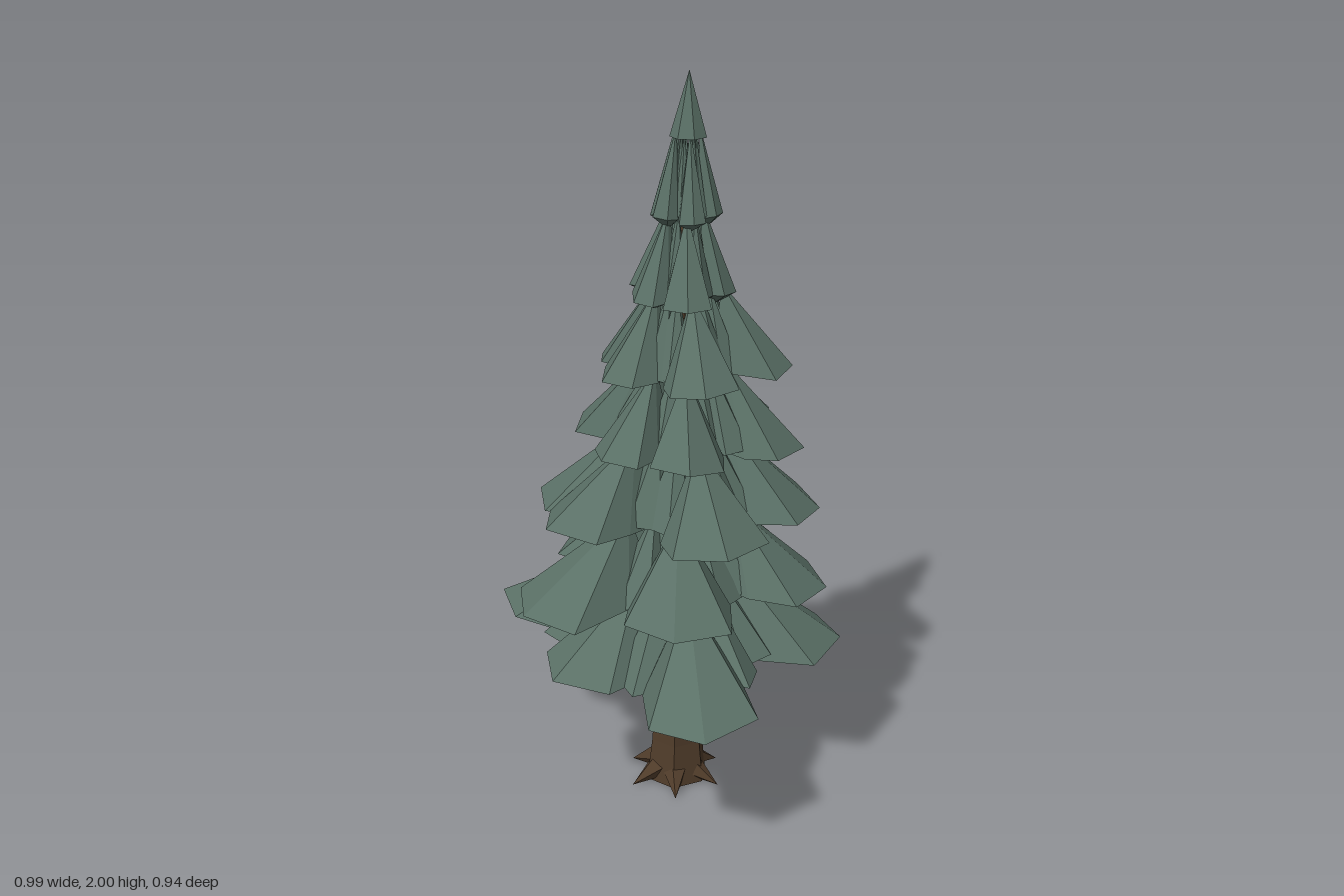
import * as THREE from 'three';

const foliage = new THREE.MeshStandardMaterial({ color: 0x5a7066, flatShading: true });
foliage.name = 'spruce green';
const bark = new THREE.MeshStandardMaterial({ color: 0x503c2a, flatShading: true });
bark.name = 'bark brown';

// Each tier: rim height, then [direction in degrees, reach] for its five boughs
const TIERS = [
  [0.445, [[61, 0.55], [120, 0.42], [187, 0.585], [266, 0.46], [338, 0.445]]],
  [0.645, [[70, 0.40], [123, 0.49], [195, 0.38], [270, 0.42], [350, 0.40]]],
  [0.845, [[50, 0.38], [132, 0.39], [174, 0.40], [260, 0.36], [338, 0.37]]],
  [1.035, [[64, 0.27], [118, 0.27], [190, 0.32], [272, 0.35], [345, 0.32]]],
  [1.24, [[56, 0.26], [128, 0.24], [184, 0.24], [262, 0.25], [340, 0.28]]],
  [1.44, [[66, 0.17], [122, 0.16], [192, 0.16], [268, 0.17], [346, 0.13]]],
  [1.64, [[58, 0.10], [126, 0.10], [186, 0.10], [262, 0.10], [342, 0.09]]],
];

let seed = 7;
const rand = () => (seed = (seed * 16807) % 2147483647) / 2147483647;
const jitter = (amount) => (rand() * 2 - 1) * amount;

// The trunk leans slightly
const axisAt = (y) => new THREE.Vector3(0.072 + 0.0115 * y, y, -0.01);

function add(group, name, geometry, material) {
  const mesh = new THREE.Mesh(geometry, material);
  mesh.name = name;
  group.add(mesh);
}

// Closed faceted cone: a peak, a rim ring and a shallow point underneath
function facetedCone(peak, rim, under) {
  const points = [];
  rim.forEach((p, i) => {
    const q = rim[(i + 1) % rim.length];
    for (const v of [peak, q, p, under, p, q]) points.push(v.x, v.y, v.z);
  });
  const geometry = new THREE.BufferGeometry();
  geometry.setAttribute('position', new THREE.Float32BufferAttribute(points, 3));
  geometry.computeVertexNormals();
  return geometry;
}

// Rim outline of a bough: [outward fraction of reach, sideways fraction of half width]
const OUTLINE = [[1, 0], [0.82, 0.95], [0.52, 0.9], [0.22, 0.5], [0.22, -0.5], [0.52, -0.9], [0.82, -0.95]];

// A drooping bough whose peak sits close to the trunk
function boughGeometry(y, degrees, reach, halfWidth, peakOut) {
  const a = THREE.MathUtils.degToRad(degrees);
  const axis = axisAt(y);
  const place = (out, side, height) => new THREE.Vector3(
    axis.x + Math.cos(a) * out - Math.sin(a) * side, height,
    axis.z + Math.sin(a) * out + Math.cos(a) * side);
  const rim = OUTLINE.map(([out, side], i) => place(
    reach * (out + (i ? jitter(0.05) : 0)),
    halfWidth * (side + (i ? jitter(0.08) : 0)), y + jitter(0.008)));
  return facetedCone(place(peakOut, 0, y + 0.22), rim, place(reach * 0.58, 0, y - 0.028));
}

// Thin cone running from one point to another
function spike(from, to, radius, sides) {
  const dir = to.clone().sub(from);
  const geometry = new THREE.ConeGeometry(radius, dir.length(), sides);
  geometry.translate(0, dir.length() / 2, 0);
  geometry.applyQuaternion(new THREE.Quaternion().setFromUnitVectors(
    new THREE.Vector3(0, 1, 0), dir.normalize()));
  return geometry.translate(from.x, from.y, from.z);
}

export function createModel() {
  const tree = new THREE.Group();
  tree.name = 'pineTree';

  // Trunk: stacked six-sided rings following the lean
  const trunk = new THREE.CylinderGeometry(1, 1, 1, 6, 4).rotateY(0.3);
  const levels = [[0.005, 0.09], [0.13, 0.076], [0.45, 0.063], [1.1, 0.038], [1.7, 0.012]];
  const pos = trunk.attributes.position;
  for (let i = 0; i < pos.count; i++) {
    const [y, r] = levels[Math.round((pos.getY(i) + 0.5) * 4)];
    const c = axisAt(y);
    pos.setXYZ(i, c.x + pos.getX(i) * r, y, c.z + pos.getZ(i) * r);
  }
  trunk.computeVertexNormals();
  add(tree, 'trunk', trunk, bark);

  // Roots
  for (let i = 0; i < 6; i++) {
    const a = (i / 6) * Math.PI * 2 + 0.12;
    const at = (r, y) => new THREE.Vector3(0.07 + Math.cos(a) * r, y, -0.005 + Math.sin(a) * r);
    add(tree, 'root', spike(at(0.05, 0.045), at(0.138, 0.006), 0.036, 5), bark);
  }

  // Tiers: each bough has a smaller sprig on both sides and a short twig inside
  TIERS.forEach(([y, boughs], i) => {
    const tier = new THREE.Group();
    tier.name = 'tier' + (i + 1);
    for (const [degrees, reach] of boughs) {
      const halfWidth = Math.min(0.145, reach * 0.36);
      add(tier, 'bough', boughGeometry(y, degrees, reach, halfWidth, reach * 0.34), foliage);
      for (const s of [-1, 1]) {
        add(tier, 'sideSprig', boughGeometry(y + 0.005, degrees + s * (25 + jitter(4)),
          reach * (0.6 + jitter(0.05)), halfWidth * 0.55, reach * 0.24), foliage);
      }
      const a = THREE.MathUtils.degToRad(degrees);
      const from = axisAt(y + 0.02);
      const to = from.clone().add(new THREE.Vector3(
        Math.cos(a) * reach * 0.5, 0.02, Math.sin(a) * reach * 0.5));
      add(tier, 'twig', spike(from, to, 0.012 + reach * 0.015, 4), bark);
    }
    tree.add(tier);
  });

  // Crown tip
  const rim = [];
  for (let i = 0; i < 7; i++) {
    const a = (i / 7) * Math.PI * 2;
    rim.push(new THREE.Vector3(0.094 + Math.cos(a) * 0.048, 1.838, -0.01 + Math.sin(a) * 0.048));
  }
  add(tree, 'crownTip', facetedCone(new THREE.Vector3(0.094, 2, -0.01), rim,
    new THREE.Vector3(0.094, 1.828, -0.01)), foliage);

  return tree;
}
